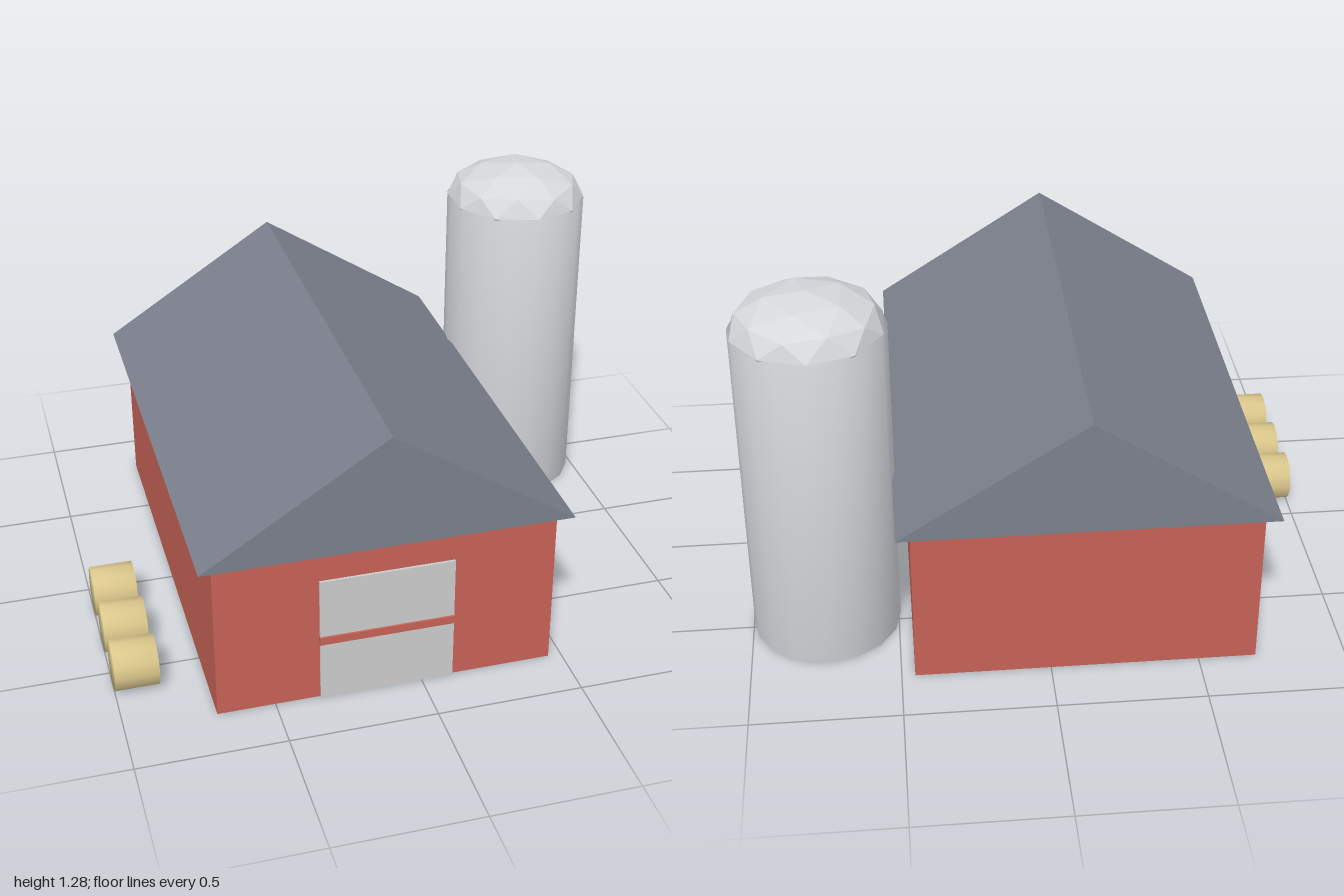
import * as THREE from 'three';
import { mergeVertices } from 'three/addons/utils/BufferGeometryUtils.js';

const mat = (color, flatShading = false) => new THREE.MeshStandardMaterial({ color, flatShading });

function add(parent, name, geometry, material, x, y, z) {
  const mesh = new THREE.Mesh(geometry, material);
  mesh.name = name;
  mesh.position.set(x, y, z);
  parent.add(mesh);
  return mesh;
}

// Closed cylinder whose normals are smoothed over the rims as well
function softCylinder(radius, height, sides) {
  const g = new THREE.CylinderGeometry(radius, radius, height, sides);
  g.deleteAttribute('uv');
  g.deleteAttribute('normal');
  const merged = mergeVertices(g);
  merged.computeVertexNormals();
  return merged;
}

export function createModel() {
  const model = new THREE.Group();
  model.name = 'farm';
  const red = mat(0xc66256);
  const roofGrey = mat(0x7a808c);
  const doorGrey = mat(0xcccccc);
  const siloGrey = mat(0xd6d8dc);
  const domeGrey = mat(0xd6d8dc, true);
  const straw = mat(0xdcc88c);

  // Barn walls, sliding door and its crossbar
  const barn = new THREE.Group();
  barn.name = 'barn';
  barn.position.x = -0.12;
  model.add(barn);
  add(barn, 'walls', new THREE.BoxGeometry(1.15, 0.58, 1.614), red, 0, 0.29, 0.001);
  add(barn, 'door', new THREE.BoxGeometry(0.456, 0.46, 0.02), doorGrey, 0, 0.231, 0.807);
  add(barn, 'doorBar', new THREE.BoxGeometry(0.46, 0.028, 0.02), red, 0, 0.232, 0.814);

  // Solid gable roof overhanging on every side
  const gable = new THREE.Shape([
    new THREE.Vector2(-0.622, 0),
    new THREE.Vector2(0.622, 0),
    new THREE.Vector2(0, 0.4),
  ]);
  const roof = new THREE.ExtrudeGeometry(gable, { depth: 1.7, bevelEnabled: false });
  add(barn, 'roof', roof, roofGrey, 0, 0.58, -0.85);

  // Silo with a faceted, flattened dome
  const silo = new THREE.Group();
  silo.name = 'silo';
  silo.position.set(0.746, 0, -0.459);
  model.add(silo);
  const radius = 0.2535, height = 1.155;
  add(silo, 'siloBody', softCylinder(radius, height, 16), siloGrey, 0, height / 2, 0);
  const dome = new THREE.IcosahedronGeometry(radius, 1);
  dome.rotateZ(-Math.atan(2 / (1 + Math.sqrt(5)))); // one corner straight up
  dome.scale(1, 0.5, 1);
  dome.computeVertexNormals();
  add(silo, 'siloDome', dome, domeGrey, 0, height, 0);

  // Row of round bales lying along x
  const bale = softCylinder(0.086, 0.148, 12).rotateZ(Math.PI / 2);
  for (let i = 0; i < 3; i++) {
    add(model, 'hayBale' + (i + 1), bale, straw, -0.926, 0.086, 0.136 + i * 0.2185);
  }
  return model;
}
